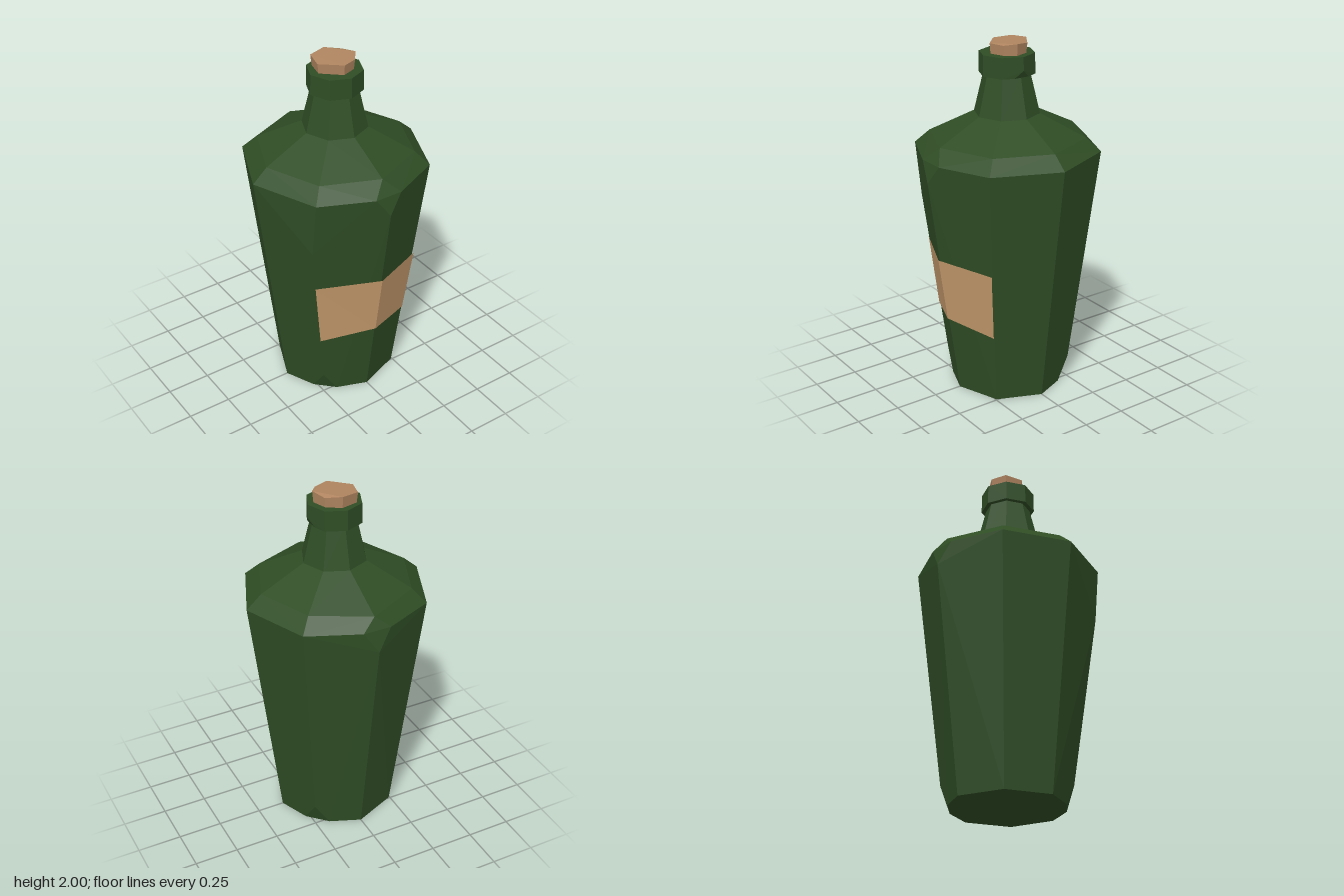
import * as THREE from 'three';
import { ConvexGeometry } from 'three/addons/geometries/ConvexGeometry.js';

const V = (x, y, z) => new THREE.Vector3(x, y, z);

// Octagonal ring with corners on the axes; column 0 = front, 2 = left (+x), 4 = back, 6 = right
function ring(r, y, skip = []) {
  const pts = [];
  for (let i = 0; i < 8; i++) {
    if (skip.includes(i)) continue;
    const a = (i * Math.PI) / 4;
    pts.push(V(Math.sin(a) * r, y, Math.cos(a) * r));
  }
  return pts;
}

export function createModel() {
  const mat = (name, color) => {
    const m = new THREE.MeshStandardMaterial({ color });
    m.name = name;
    return m;
  };
  const glass = mat('green glass', 0x2f4d25);
  const paper = mat('label paper', 0xc49a6c);
  const corkMat = mat('cork', 0xb08560);

  const group = new THREE.Group();
  group.name = 'bottle';
  const add = (name, geometry, material) => {
    const mesh = new THREE.Mesh(geometry, material);
    mesh.name = name;
    group.add(mesh);
  };

  // Tapered body and shoulder; skipped corners are replaced by chipped ones
  const body = [
    ...ring(0.345, 0, [0, 3, 7]), V(0, 0, 0.333),
    ...ring(0.52, 1.4, [0, 4]),
    ...ring(0.435, 1.475, [4]),
    ...ring(0.185, 1.6),
    // chipped front and back shoulder corners
    V(0, 1.29, 0.517), V(-0.08, 1.4, 0.495), V(0.08, 1.4, 0.495),
    V(0, 1.28, -0.517), V(-0.08, 1.4, -0.49), V(0.08, 1.4, -0.49), V(0, 1.465, -0.455),
    // chipped base corners
    V(-0.25, 0.12, 0.25), V(-0.17, 0, 0.27), V(-0.27, 0, 0.17),
    V(0.255, 0.13, -0.255), V(0.17, 0, -0.275), V(0.275, 0, -0.17),
    // slight bulge on the front right edge
    V(-0.29, 0.42, 0.274), V(-0.34, 0.82, 0.305), V(-0.37, 1.08, 0.332),
  ];
  add('body', new ConvexGeometry(body), glass);

  // Neck
  const neck = new THREE.CylinderGeometry(0.125, 0.185, 0.25, 8, 1, true).toNonIndexed();
  neck.computeVertexNormals();
  neck.translate(0, 1.715, 0);
  add('neck', neck, glass);

  // Collar with one chipped lower corner
  add('collar', new ConvexGeometry([
    ...ring(0.155, 1.82, [2]), ...ring(0.153, 1.935),
    V(0.154, 1.86, 0), V(0.135, 1.82, 0.045), V(0.135, 1.82, -0.045),
  ]), glass);

  // Irregular cork stopper
  const outline = [
    [-0.115, 0.01, 1.99], [-0.09, -0.095, 1.995], [0.01, -0.12, 2], [0.09, -0.07, 1.99],
    [0.12, 0.015, 2], [0.075, 0.075, 1.99], [-0.01, 0.105, 1.992],
  ];
  add('cork', new ConvexGeometry(outline.flatMap(([x, z, y]) => [
    V(x, y, z), V(x * 0.92, 1.9, z * 0.92),
  ])), corkMat);

  // Label wrapped over the two front faces: top and bottom point of each column
  const columns = [
    [V(-0.34, 0.825, 0.305), V(-0.29, 0.415, 0.274)],
    [V(0, 0.83, 0.453), V(0, 0.46, 0.4)],
    [V(0.318, 0.81, 0.318), V(0.28, 0.415, 0.28)],
  ];
  const corners = [];
  for (let i = 0; i < 2; i++) {
    const [a, b] = columns[i], [c, d] = columns[i + 1];
    corners.push(a, b, d, a, d, c);
  }
  const label = new THREE.BufferGeometry().setFromPoints(corners);
  label.computeVertexNormals();
  label.translate(0, 0, 0.007);
  add('label', label, paper);

  return group;
}
